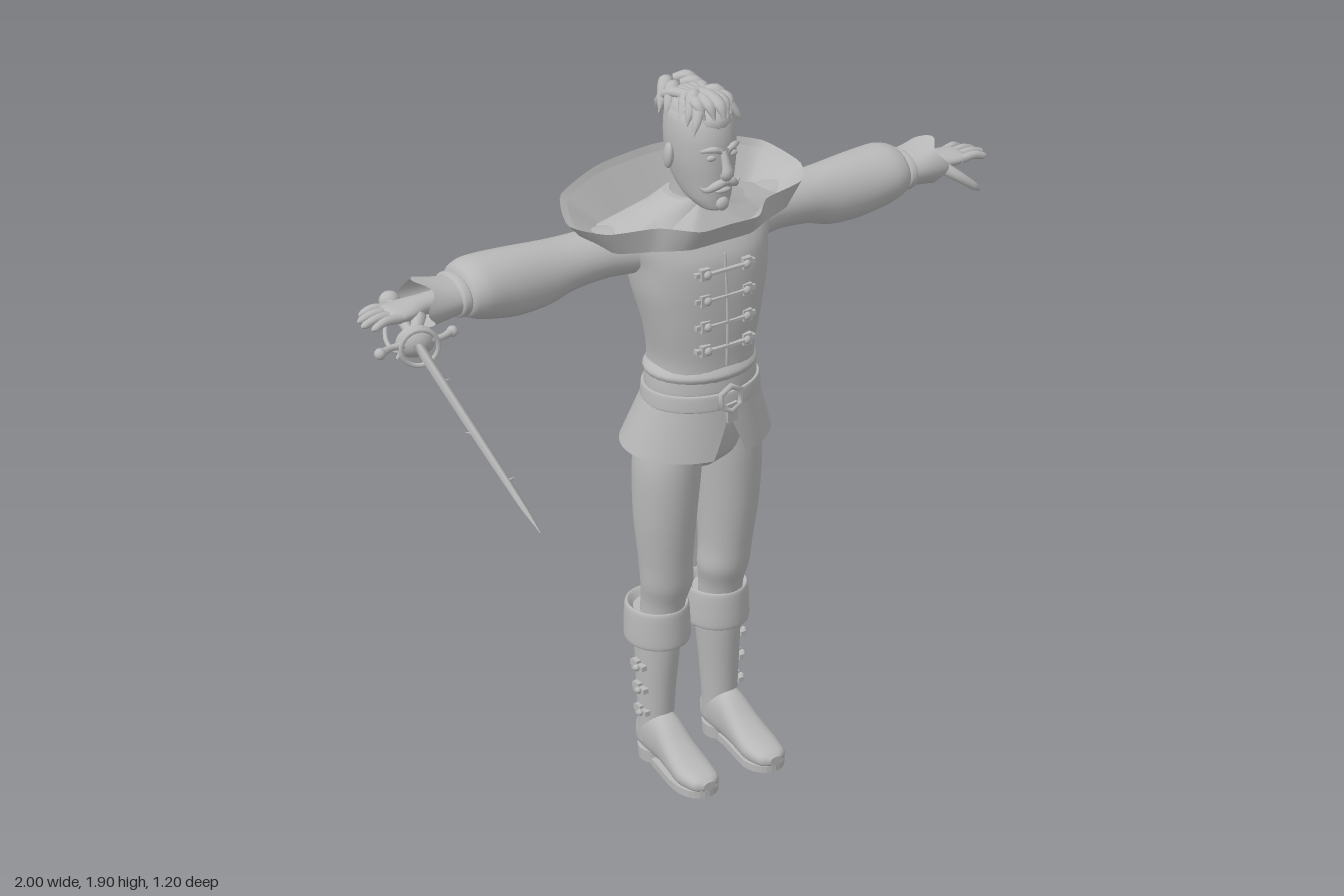
import * as THREE from 'three';

const grey = new THREE.MeshStandardMaterial({ color: 0xb8b8b8, side: THREE.DoubleSide });
grey.name = 'plain grey';

function add(parent, name, geo, pos = [0, 0, 0], rot = [0, 0, 0], scale = [1, 1, 1]) {
  const m = new THREE.Mesh(geo, grey);
  m.name = name;
  m.position.set(...pos); m.rotation.set(...rot); m.scale.set(...scale);
  parent.add(m);
  return m;
}

// Joins rows of points into one smooth skin, wound outwards when closed
function skin(rows, { closed = true, caps = true } = {}) {
  const n = rows[0].length, pos = [], idx = [];
  rows.forEach(r => r.forEach(p => pos.push(p.x, p.y, p.z)));
  for (let i = 0; i < rows.length - 1; i++)
    for (let j = 0; j < (closed ? n : n - 1); j++) {
      const a = i * n + j, b = i * n + (j + 1) % n;
      idx.push(a, b, a + n, b, b + n, a + n);
    }
  if (closed && caps) [0, rows.length - 1].forEach((r, end) => {
    const c = rows[r].reduce((s, p) => s.add(p), new THREE.Vector3()).divideScalar(n);
    const base = pos.length / 3;
    pos.push(c.x, c.y, c.z);
    rows[r].forEach(p => pos.push(p.x, p.y, p.z));
    for (let j = 0; j < n; j++) {
      const a = base + 1 + j, b = base + 1 + (j + 1) % n;
      end ? idx.push(base, a, b) : idx.push(base, b, a);
    }
  });
  let vol = 0;
  const v = i => new THREE.Vector3().fromArray(pos, i * 3);
  for (let i = 0; i < idx.length; i += 3) vol += v(idx[i]).dot(v(idx[i + 1]).cross(v(idx[i + 2])));
  if (closed && vol < 0) idx.reverse();
  const g = new THREE.BufferGeometry();
  g.setAttribute('position', new THREE.Float32BufferAttribute(pos, 3));
  g.setIndex(idx);
  g.computeVertexNormals();
  return g;
}

// Smooth loft through sections [t, a, b, ra, rb] along the x, y or z axis
function loft(axis, secs, { n = 28, k = 2, sub = 4, caps = true, warp } = {}) {
  const cA = new THREE.CatmullRomCurve3(secs.map(s => new THREE.Vector3(s[0], s[1], s[2])), false, 'catmullrom', 0.4);
  const cB = new THREE.CatmullRomCurve3(secs.map(s => new THREE.Vector3(s[3], s[4], 0)), false, 'catmullrom', 0.4);
  const rows = [], steps = (secs.length - 1) * sub;
  for (let i = 0; i <= steps; i++) {
    const c = cA.getPoint(i / steps), r = cB.getPoint(i / steps), row = [];
    for (let j = 0; j < n; j++) {
      const t = j / n * Math.PI * 2, f = q => Math.sign(q) * Math.abs(q) ** (2 / k);
      const a = c.y + r.x * f(Math.cos(t)), b = c.z + r.y * f(Math.sin(t));
      const p = axis === 'y' ? new THREE.Vector3(a, c.x, b)
        : axis === 'x' ? new THREE.Vector3(c.x, a, b) : new THREE.Vector3(a, b, c.x);
      if (warp) warp(p, t, i / steps);
      row.push(p);
    }
    rows.push(row);
  }
  return skin(rows, { caps });
}

// Tapered tube through points [x, y, z, sideRadius, upRadius]
function sweep(pts, up = [0, 1, 0], n = 10) {
  const path = new THREE.CatmullRomCurve3(pts.map(p => new THREE.Vector3(...p.slice(0, 3))));
  const rad = new THREE.CatmullRomCurve3(pts.map(p => new THREE.Vector3(p[3], p[4] ?? p[3], 0)), false, 'catmullrom', 0.3);
  const rows = [], steps = (pts.length - 1) * 4, u = new THREE.Vector3(...up);
  for (let i = 0; i <= steps; i++) {
    const c = path.getPoint(i / steps), r = rad.getPoint(i / steps), t = path.getTangent(i / steps);
    const side = t.clone().cross(u).normalize(), nor = side.clone().cross(t);
    rows.push(Array.from({ length: n }, (_, j) => c.clone()
      .addScaledVector(side, r.x * Math.cos(j / n * 2 * Math.PI))
      .addScaledVector(nor, r.y * Math.sin(j / n * 2 * Math.PI))));
  }
  return skin(rows);
}

// Closed loop through half-outline points [x, y, z], mirrored in x
function loop(half, n = 64) {
  const all = [...half, ...half.slice(1, -1).reverse().map(([x, y, z]) => [-x, y, z])];
  const c = new THREE.CatmullRomCurve3(all.map(p => new THREE.Vector3(...p)), true, 'catmullrom', 0.3);
  return Array.from({ length: n }, (_, i) => c.getPoint(i / n));
}

const ball = new THREE.SphereGeometry(1, 18, 12);

function buildTorso(g) {
  add(g, 'jacket', loft('y', [[1.08, 0, -.388, .148, .118], [1.2, 0, -.387, .136, .114], [1.3, 0, -.38, .155, .112],
    [1.4, 0, -.39, .18, .122], [1.48, 0, -.402, .192, .125], [1.54, 0, -.42, .215, .11], [1.58, 0, -.425, .16, .085],
    [1.62, 0, -.42, .07, .065]], { n: 40, k: 2.3 }));
  add(g, 'hips', loft('y', [[1.1, 0, -.39, .15, .115], [1, 0, -.405, .155, .115], [.93, 0, -.405, .12, .095], [.885, 0, -.405, .04, .05]]));
  // jacket hem, belts
  add(g, 'waistRoll', loft('y', [[1.155, 0, -.388, .143, .118], [1.175, 0, -.388, .152, .127], [1.195, 0, -.388, .137, .115]]));
  [[1.15, .15], [1.11, .16]].forEach(([y, r]) => add(g, 'belt', loft('y', [[y - .023, 0, -.388, r - .004, r - .031],
    [y - .019, 0, -.388, r, r - .027], [y + .017, 0, -.388, r - .003, r - .03], [y + .02, 0, -.388, r - .008, r - .036]], { n: 40 })));
  add(g, 'buckle', new THREE.TorusGeometry(.034, .008, 8, 6), [0, 1.115, -.253], [0, 0, Math.PI / 6]);
  add(g, 'beltTail', new THREE.BoxGeometry(.03, .055, .01), [.005, 1.075, -.257], [.1, 0, .1]);
  // skirt panels, parted at front and back
  for (const s of [1, -1]) {
    const rows = [];
    for (let i = 0; i <= 8; i++) {
      const v = i / 8, gap = Math.max(0, v - .25) * .33, row = [];
      for (let j = 0; j <= 28; j++) {
        const t = gap + (Math.PI - 2 * gap) * j / 28;
        row.push(new THREE.Vector3(s * Math.sin(t) * (.152 + .053 * v), 1.115 - v * (.155 + .008 * Math.cos(t)),
          -.388 - .025 * v + Math.cos(t) * (.122 + .04 * v)));
      }
      rows.push(s > 0 ? row : row.reverse());
    }
    add(g, 'skirtPanel', skin(rows, { closed: false }));
  }
  // front fastenings
  add(g, 'placket', sweep([[0, 1.2, -.27, .004], [0, 1.32, -.265, .004], [0, 1.5, -.276, .004]], [1, 0, 0], 6));
  [1.255, 1.32, 1.39, 1.46].forEach(y => {
    const z = -.267;
    add(g, 'toggle', new THREE.BoxGeometry(.13, .007, .012), [0, y, z]);
    for (const s of [1, -1]) {
      add(g, 'clasp', new THREE.BoxGeometry(.026, .03, .016), [s * .062, y, z - .007]);
      add(g, 'claspKnob', ball, [s * .058, y, z + .003], [0, 0, 0], [.011, .011, .008]);
      add(g, 'claspBar', new THREE.BoxGeometry(.012, .012, .016), [s * .082, y, z - .011]);
    }
  });
  // wide flared collar
  const rim = loop([[0, 1.585, -.252], [.085, 1.585, -.252], [.16, 1.588, -.325], [.285, 1.592, -.355],
    [.343, 1.6, -.44], [.3, 1.635, -.54], [.17, 1.67, -.575], [0, 1.68, -.588]]);
  const base = loop([[0, 1.525, -.29], [.09, 1.525, -.292], [.17, 1.525, -.335], [.25, 1.53, -.365],
    [.28, 1.53, -.44], [.25, 1.53, -.505], [.15, 1.525, -.53], [0, 1.52, -.535]]);
  const inner = rim.map((p, i) => p.clone().lerp(base[i], .12).multiply(new THREE.Vector3(.96, 1, 1)));
  const well = base.map(p => new THREE.Vector3(p.x * .9, p.y + .025, -.43 + (p.z + .43) * .9));
  const neck = base.map(p => new THREE.Vector3(p.x * .25, 1.61, -.42 + (p.z + .42) * .55));
  add(g, 'collarOutside', skin([base, base.map((p, i) => p.clone().lerp(rim[i], .5)), rim], { caps: false }));
  add(g, 'collarEdge', skin([rim, inner], { caps: false }));
  add(g, 'collarInside', skin([inner, well], { caps: false }));
  add(g, 'shoulderYoke', skin([well, neck], { caps: false }));
  add(g, 'collarUnderside', skin([base, base.map(p => new THREE.Vector3(p.x * .7, p.y - .01, -.42 + (p.z + .42) * .7))], { caps: false }));
}

function buildHead(g) {
  add(g, 'neck', loft('y', [[1.55, 0, -.43, .075, .07], [1.61, 0, -.42, .053, .06], [1.7, 0, -.41, .05, .06]]));
  add(g, 'head', loft('y', [[1.604, 0, -.325, .018, .022], [1.612, 0, -.33, .034, .042], [1.635, 0, -.352, .052, .068],
    [1.67, 0, -.37, .063, .09], [1.73, 0, -.379, .075, .103], [1.79, 0, -.381, .077, .104], [1.835, 0, -.385, .07, .095],
    [1.865, 0, -.388, .047, .065], [1.876, 0, -.39, .012, .02]], { n: 32, k: 2.15 }));
  add(g, 'nose', sweep([[0, 1.765, -.28, .009], [0, 1.735, -.268, .011], [0, 1.712, -.262, .016, .013], [0, 1.7, -.273, .013]], [0, 0, 1]));
  add(g, 'chinTuft', ball, [0, 1.628, -.285], [0, 0, 0], [.018, .018, .012]);
  add(g, 'lips', ball, [0, 1.664, -.281], [0, 0, 0], [.022, .007, .009]);
  for (const s of [1, -1]) {
    add(g, 'eye', ball, [s * .03, 1.752, -.285], [0, 0, 0], [.014, .008, .008]);
    add(g, 'brow', sweep([[s * .01, 1.768, -.274, .007], [s * .03, 1.776, -.277, .008], [s * .054, 1.77, -.296, .004]], [0, 0, 1]));
    add(g, 'moustache', sweep([[0, 1.69, -.271, .009], [s * .022, 1.684, -.273, .011], [s * .044, 1.67, -.29, .007], [s * .058, 1.678, -.297, .002]], [0, 0, 1]));
    add(g, 'ear', ball, [s * .081, 1.735, -.395], [.15, s * .3, 0], [.012, .034, .021]);
  }
  // hair crown and swept locks
  add(g, 'hairCrown', ball, [0, 1.835, -.385], [.06, 0, 0], [.066, .05, .104]);
  for (let i = 0; i < 6; i++) for (const s of [1, -1]) {
    const z = -.315 - i * .03, h = 1.868 + .014 * Math.sin(i * 1.7);
    add(g, 'sideLock', sweep([[s * .008, h, z - .035, .012], [s * .034, h + .01, z - .012, .017, .012],
      [s * .058, h - .025, z + .008, .012, .009], [s * .07, h - .055, z + .014, .002]]));
  }
  for (let i = 0; i < 5; i++) {
    const x = (i - 2) * .021, z = -.272 - Math.abs(x) * .7;
    add(g, 'quiffLock', sweep([[x * .5, 1.872, -.42, .012], [x * .8, 1.888 - Math.abs(x) * .2, -.35, .02, .014],
      [x, 1.878, z - .02, .016, .012], [x * .9, 1.845, z, .003]]));
    add(g, 'backLock', sweep([[x * .5, 1.875, -.39, .014], [x, 1.875, -.44, .018, .012], [x * 1.2, 1.84, -.48, .012], [x, 1.8, -.488, .002]]));
  }
}

function buildArm(g) {
  add(g, 'sleeve', loft('x', [[.14, 1.5, -.43, .06, .08], [.25, 1.505, -.445, .062, .073], [.35, 1.5, -.45, .067, .073],
    [.42, 1.492, -.45, .08, .076], [.51, 1.494, -.45, .085, .084], [.6, 1.504, -.45, .077, .09], [.64, 1.506, -.45, .064, .08],
    [.652, 1.506, -.45, .045, .06]]));
  add(g, 'cuff', loft('x', [[.635, 1.502, -.45, .046, .065], [.68, 1.502, -.45, .045, .068], [.73, 1.503, -.45, .052, .071], [.77, 1.505, -.45, .06, .072]],
    { n: 40, caps: false, warp: (p, t, u) => { p.x -= u * .028 * (1 - Math.cos(4 * t)) * .5; } }));
  add(g, 'cuffBand', loft('x', [[.645, 1.502, -.45, .047, .066], [.652, 1.502, -.45, .053, .074], [.668, 1.502, -.45, .053, .074], [.674, 1.502, -.45, .046, .067]]));
  add(g, 'palm', loft('x', [[.66, 1.5, -.447, .028, .033], [.74, 1.5, -.447, .025, .03], [.79, 1.5, -.445, .022, .043],
    [.835, 1.5, -.443, .018, .047], [.85, 1.5, -.443, .012, .04]]));
  // four fingers and a thumb
  [[-.407, -.4, .91], [-.431, -.428, .922], [-.455, -.458, .915], [-.478, -.488, .895]].forEach(([z0, z1, x]) =>
    add(g, 'finger', sweep([[.83, 1.5, z0, .012], [(.83 + x) / 2, 1.505, (z0 + z1) / 2, .011], [x - .01, 1.497, z1, .009], [x, 1.494, z1, .003]])));
  add(g, 'thumb', sweep([[.775, 1.49, -.415, .018], [.805, 1.468, -.385, .014], [.845, 1.437, -.37, .011], [.865, 1.42, -.37, .004]]));
}

function buildLeg(g) {
  add(g, 'trouserLeg', loft('y', [[1.02, .08, -.405, .075, .1], [.9, .093, -.405, .085, .097], [.75, .097, -.412, .079, .088],
    [.62, .093, -.418, .069, .075], [.55, .088, -.421, .069, .068], [.49, .09, -.435, .058, .062], [.4, .093, -.45, .055, .06]]));
  add(g, 'bootShaft', loft('y', [[.43, .094, -.46, .062, .068], [.34, .096, -.46, .058, .066], [.22, .1, -.462, .051, .057], [.12, .102, -.463, .046, .051], [.06, .103, -.464, .045, .05]]));
  add(g, 'bootCuff', loft('y', [[.38, .093, -.462, .06, .068], [.366, .093, -.463, .08, .088], [.38, .093, -.463, .086, .093],
    [.46, .093, -.462, .083, .09], [.474, .093, -.461, .076, .083], [.455, .093, -.46, .062, .068]], { n: 36 }));
  add(g, 'bootFoot', loft('z', [[-.206, .106, .036, .018, .012], [-.225, .106, .037, .042, .022], [-.28, .106, .042, .054, .033],
    [-.34, .105, .06, .05, .048], [-.4, .103, .082, .046, .068], [-.46, .103, .085, .046, .07], [-.505, .103, .07, .036, .055], [-.513, .103, .065, .02, .04]], { k: 2.4 }));
  const sole = new THREE.Shape();
  sole.moveTo(.04, .42).bezierCurveTo(.045, .37, .062, .32, .058, .27).bezierCurveTo(.05, .185, -.05, .185, -.058, .27)
    .bezierCurveTo(-.056, .32, -.04, .37, -.04, .42);
  add(g, 'sole', new THREE.ExtrudeGeometry(sole, { depth: .02, bevelEnabled: false, curveSegments: 12 }), [.106, .024, 0], [-Math.PI / 2, 0, Math.PI]).scale.set(1, -1, 1);
  g.children.at(-1).rotation.set(Math.PI / 2, 0, 0);
  add(g, 'heel', new THREE.CylinderGeometry(.047, .045, .036, 20), [.103, .018, -.465], [0, 0, 0], [1, 1, 1.08]);
  // outer straps
  [.16, .23, .3].forEach((y, i) => {
    const x = .15 + i * .004;
    add(g, 'bootStrap', new THREE.BoxGeometry(.016, .014, .055), [x, y, -.455]);
    add(g, 'bootClasp', new THREE.BoxGeometry(.014, .03, .024), [x + .003, y, -.462]);
    add(g, 'bootStud', ball, [x + .012, y, -.447], [0, 0, 0], [.009, .009, .009]);
  });
}

// Sword pointing along +z from its pommel
function buildSword(g) {
  add(g, 'pommel', ball, [0, 0, .012], [0, 0, 0], [.026, .026, .024]);
  add(g, 'grip', new THREE.CylinderGeometry(.012, .014, .25, 14), [0, 0, .13], [Math.PI / 2, 0, 0]);
  add(g, 'guardShell', new THREE.SphereGeometry(.055, 20, 8, 0, Math.PI * 2, 0, 1.1), [0, 0, .225], [Math.PI / 2, 0, 0], [1, .9, .85]);
  add(g, 'crossGuard', sweep([[-.095, 0, .285, .011], [-.06, 0, .262, .008], [0, 0, .255, .012], [.06, 0, .248, .008], [.095, 0, .225, .011]]));
  for (const s of [1, -1]) add(g, 'guardKnob', ball, [s * .095, 0, .255 + s * -.03], [0, 0, 0], [.014, .014, .014]);
  add(g, 'knuckleBow', sweep([[0, -.012, .25, .006], [-.035, -.042, .2, .006], [-.04, -.045, .12, .006], [-.012, -.012, .03, .005]]));
  add(g, 'guardRing', new THREE.TorusGeometry(.045, .006, 8, 24), [0, 0, .285]);
  add(g, 'blade', sweep([[0, 0, .25, .013, .006], [0, 0, .7, .012, .005], [0, 0, 1.1, .008, .004], [0, 0, 1.232, .001]], [0, 1, 0], 4));
  [.47, .74, .98].forEach((z, i) => add(g, 'bladeBarb', new THREE.ConeGeometry(.005, .02, 6), [i % 2 ? -.013 : .013, 0, z], [0, 0, i % 2 ? 1.2 : -1.2]));
}

export function createModel() {
  const model = new THREE.Group();
  model.name = 'swordsman';
  const part = (name, build, parent) => {
    const g = new THREE.Group();
    g.name = name;
    build(g);
    parent.add(g);
    return g;
  };
  const body = part('body', () => {}, model);
  body.position.x = .075;
  part('torso', buildTorso, body);
  part('headGroup', buildHead, body);
  part('leftArm', buildArm, body);
  part('rightArm', buildArm, body).scale.x = -1;
  part('leftLeg', buildLeg, body);
  part('rightLeg', buildLeg, body).scale.x = -1;
  const sword = part('sword', buildSword, body);
  sword.position.set(-.76, 1.462, -.59);
  sword.rotation.y = -.259;
  return model;
}
